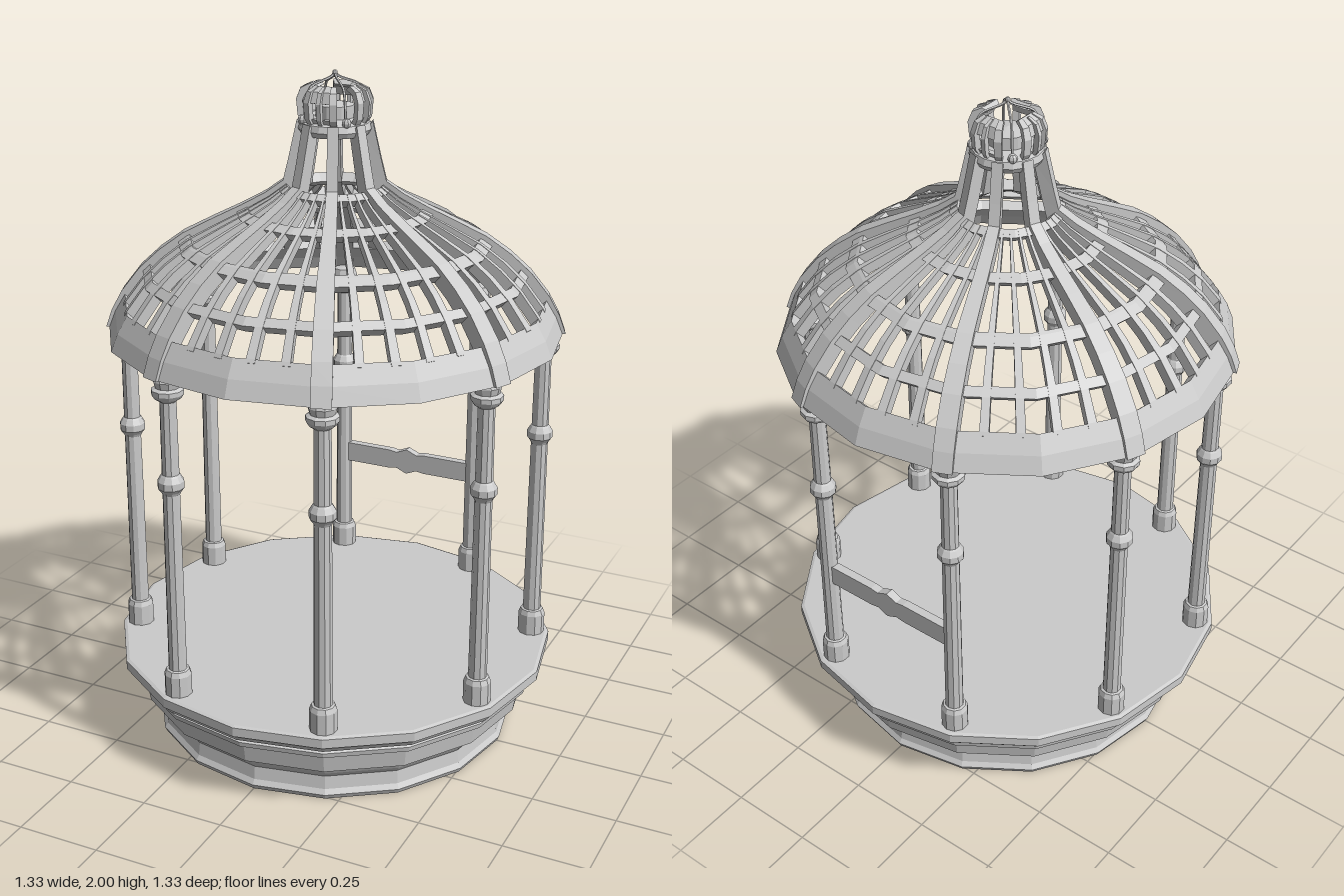
import * as THREE from 'three';

const mat = new THREE.MeshStandardMaterial({ color: 0xcccccc, flatShading: true });
const SIDES = 16;
const STEP = (Math.PI * 2) / SIDES;
const EIGHTH = Math.PI / 4;

// Dome outline as [radius, height], from the eaves up to the neck
const DOME = [[0.665, 1.25], [0.645, 1.3], [0.615, 1.35], [0.56, 1.42], [0.5, 1.475], [0.43, 1.525],
  [0.34, 1.57], [0.26, 1.608], [0.19, 1.645], [0.14, 1.68]];

function add(parent, name, geometry) {
  const mesh = new THREE.Mesh(geometry, mat);
  mesh.name = name;
  parent.add(mesh);
  return mesh;
}

function group(parent, name) {
  const g = new THREE.Group();
  g.name = name;
  parent.add(g);
  return g;
}

const lathe = (pts, sides) => new THREE.LatheGeometry(pts.map(([r, y]) => new THREE.Vector2(r, y)), sides);

// Radius factor that keeps a point on the faceted sixteen-sided outline
function facet(a) {
  const m = ((a % STEP) + STEP) % STEP;
  return Math.cos(STEP / 2) / Math.cos(m - STEP / 2);
}

// Moves a dome point inwards by t (outwards if negative), keeping the eaves level
function inset([r, y], t) {
  const k = Math.min(1, Math.max(0, (y - 1.25) / 0.1));
  return [r - t, y - t * k];
}

// Stretch of the dome outline between two heights
function domeSlice(y0, y1) {
  const at = (y) => {
    const i = Math.max(1, DOME.findIndex((p) => p[1] >= y));
    const [r0, h0] = DOME[i - 1], [r1, h1] = DOME[i];
    return [r0 + ((r1 - r0) * (y - h0)) / (h1 - h0), y];
  };
  return [at(y0), ...DOME.filter((p) => p[1] > y0 + 0.001 && p[1] < y1 - 0.001), at(y1)];
}

// Closed solid through four-cornered sections
function loft(sections) {
  const pos = sections.flat(2), idx = [], last = (sections.length - 1) * 4;
  for (let i = 0; i < last; i += 4) {
    for (let j = 0; j < 4; j++) {
      const k = (j + 1) % 4;
      idx.push(i + j, i + 4 + j, i + 4 + k, i + j, i + 4 + k, i + k);
    }
  }
  idx.push(0, 1, 2, 0, 2, 3, last, last + 2, last + 1, last, last + 3, last + 2);
  const g = new THREE.BufferGeometry();
  g.setAttribute('position', new THREE.Float32BufferAttribute(pos, 3));
  g.setIndex(idx);
  g.computeVertexNormals();
  return g;
}

// Upright strip following an outline at angle a; half(r) gives its half angle
function strip(outline, a, half, tOut, tIn, move = inset) {
  return loft(outline.map((p) => {
    const h = half(p[0]);
    const corner = (ang, t) => {
      const [r, y] = move(p, t), f = facet(ang) * r;
      return [f * Math.cos(ang), y, f * Math.sin(ang)];
    };
    return [corner(a - h, tOut), corner(a + h, tOut), corner(a + h, tIn), corner(a - h, tIn)];
  }));
}

function buildBase(root) {
  add(root, 'basePlinth', lathe([[0, 0], [0.548, 0], [0.555, 0.015], [0.545, 0.03], [0.54, 0.07], [0.55, 0.085],
    [0.56, 0.105], [0.595, 0.12], [0.605, 0.18], [0.625, 0.185], [0.628, 0.2], [0.605, 0.212], [0.645, 0.218],
    [0.655, 0.235], [0.665, 0.24], [0.665, 0.268], [0.655, 0.272], [0, 0.272]], SIDES));
}

function buildPosts(root) {
  const posts = group(root, 'posts');
  const profile = [[0, 0.265], [0.04, 0.265], [0.04, 0.335], [0.034, 0.35], [0.027, 0.352], [0.025, 0.9],
    [0.029, 0.908], [0.038, 0.92], [0.038, 0.94], [0.029, 0.955], [0.025, 0.96], [0.024, 1.175], [0.038, 1.185],
    [0.046, 1.197], [0.046, 1.21], [0.035, 1.216], [0.04, 1.235], [0.033, 1.255], [0, 1.26]];
  const geometry = lathe(profile, 10);
  for (let i = 0; i < 8; i++) {
    const a = (i + 0.5) * EIGHTH;
    add(posts, 'post', geometry).position.set(0.61 * Math.cos(a), 0, 0.61 * Math.sin(a));
  }
}

function buildRail(root) {
  // Bar between the two back posts, with a small swelling at its middle
  const top = [[-0.225, 0.647], [-0.06, 0.647], [-0.035, 0.643], [0, 0.658], [0.035, 0.643], [0.06, 0.647], [0.225, 0.647]];
  const bottom = top.map(([x, y]) => [x, 1.23 - y]).reverse();
  const shape = new THREE.Shape([...top, ...bottom].map(([x, y]) => new THREE.Vector2(x, y)));
  const rail = add(root, 'backRail', new THREE.ExtrudeGeometry(shape, { depth: 0.026, bevelEnabled: false }));
  rail.position.z = -0.577;
}

function buildRoof(root) {
  const roof = group(root, 'roof');
  // Level bands between the rows of openings
  for (const [y0, y1] of [[1.25, 1.35], [1.42, 1.44], [1.508, 1.53], [1.597, 1.612], [1.665, 1.68]]) {
    const outer = domeSlice(y0, y1);
    const inner = outer.map((p) => inset(p, 0.022)).reverse();
    add(roof, 'roofBand', lathe([...outer, ...inner, outer[0]], SIDES));
  }
  const barLine = domeSlice(1.34, 1.68);
  const ribLine = [...DOME, [0.125, 1.74], [0.1, 1.85]];
  for (let i = 0; i < 8; i++) {
    const a = (i + 0.5) * EIGHTH;
    // Heavy rib over each post, running on up to form the open neck
    add(roof, 'roofRib', strip(ribLine, a, (r) => (0.013 + 0.018 * Math.min(1, r / 0.6)) / r * 0.9, -0.01, 0.024));
    // Slender bars dividing each bay into five openings
    for (let k = 1; k < 5; k++) {
      add(roof, 'roofBar', strip(barLine, a + (k * EIGHTH) / 5, () => 0.021, -0.001, 0.02));
    }
  }
}

function buildFinial(root) {
  const finial = group(root, 'finial');
  add(finial, 'finialCollar', lathe([[0, 1.825], [0.098, 1.825], [0.106, 1.84], [0.1, 1.858], [0.075, 1.865],
    [0.055, 1.87], [0.055, 1.905], [0, 1.915]], SIDES));
  const outline = [[0.09, 1.85], [0.106, 1.875], [0.11, 1.92], [0.098, 1.95], [0.07, 1.963]];
  const inward = ([r, y], t) => [r - t, y - t * Math.max(0, (y - 1.9) * 10)];
  for (let i = 0; i < 4; i++) {
    const a = (i * Math.PI) / 2;
    // Bulging open panel with two openings
    for (const da of [-0.4, 0, 0.4]) {
      add(finial, 'finialPanelBar', strip(outline, a + da, () => (da ? 0.1 : 0.06), 0, 0.018, inward));
    }
    add(finial, 'finialPanelFoot', strip(outline.slice(0, 2), a, () => 0.5, 0, 0.02, inward));
    add(finial, 'finialPanelTop', strip(outline.slice(2), a, () => 0.5, 0, 0.018, inward));
    // Thin wire on the diagonal, sweeping up to the tip
    const d = a + EIGHTH;
    const path = [[0.09, 1.85], [0.085, 1.91], [0.072, 1.955], [0.035, 1.972], [0.01, 1.982], [0, 1.993]]
      .map(([r, y]) => new THREE.Vector3(r * Math.cos(d), y, r * Math.sin(d)));
    add(finial, 'finialWire', new THREE.TubeGeometry(new THREE.CatmullRomCurve3(path), 14, 0.004, 5));
    add(finial, 'finialKnob', new THREE.SphereGeometry(0.014, 8, 6))
      .position.set(0.096 * Math.cos(d), 1.868, 0.096 * Math.sin(d));
  }
  add(finial, 'finialTip', new THREE.SphereGeometry(0.008, 8, 6)).position.y = 1.992;
}

export function createModel() {
  const root = new THREE.Group();
  root.name = 'gazebo';
  buildBase(root);
  buildPosts(root);
  buildRail(root);
  buildRoof(root);
  buildFinial(root);
  return root;
}
